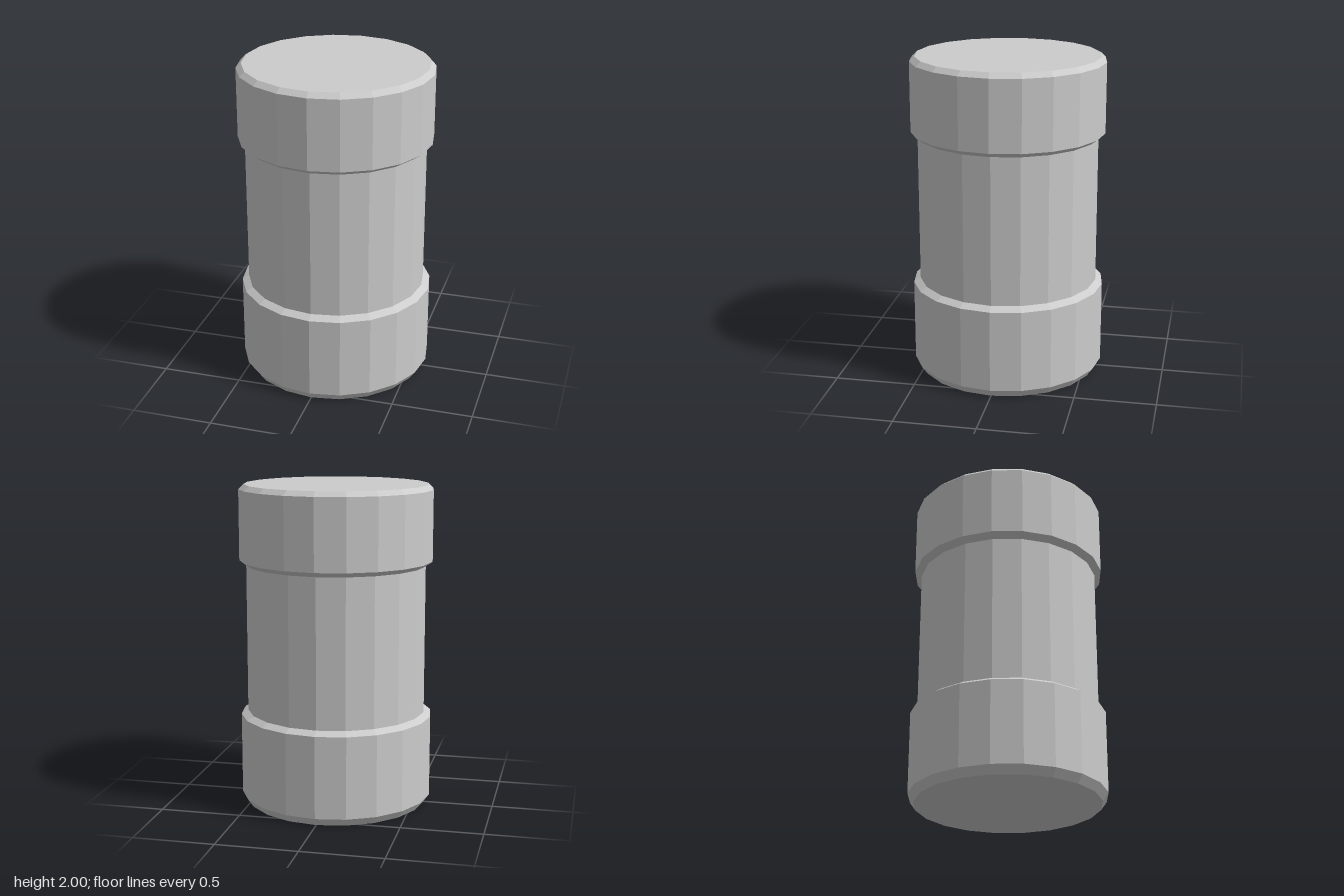
import * as THREE from 'three';

const SIDES = 20;

export function createModel() {
  const model = new THREE.Group();
  model.name = 'collaredCylinder';
  const grey = new THREE.MeshStandardMaterial({ color: 0xcccccc });
  grey.name = 'lightGrey';

  // Faceted solid turned from [radius, height] points, listed bottom to top
  function turned(name, profile) {
    const points = profile.map(([r, y]) => new THREE.Vector2(r, y));
    const geometry = new THREE.LatheGeometry(points, SIDES).toNonIndexed();
    geometry.computeVertexNormals(); // one normal per facet
    const mesh = new THREE.Mesh(geometry, grey);
    mesh.name = name;
    model.add(mesh);
  }

  // Lower collar with bevelled rims
  turned('lowerCollar', [[0, 0], [0.565, 0], [0.6, 0.05], [0.6, 0.56], [0.558, 0.587]]);

  // Narrower barrel between the collars
  turned('barrel', [[0.558, 0.587], [0.558, 1.505]]);

  // Upper collar with bevelled rims and a flat top
  turned('upperCollar', [[0.558, 1.505], [0.6, 1.535], [0.6, 1.97], [0.568, 2], [0, 2]]);

  return model;
}
